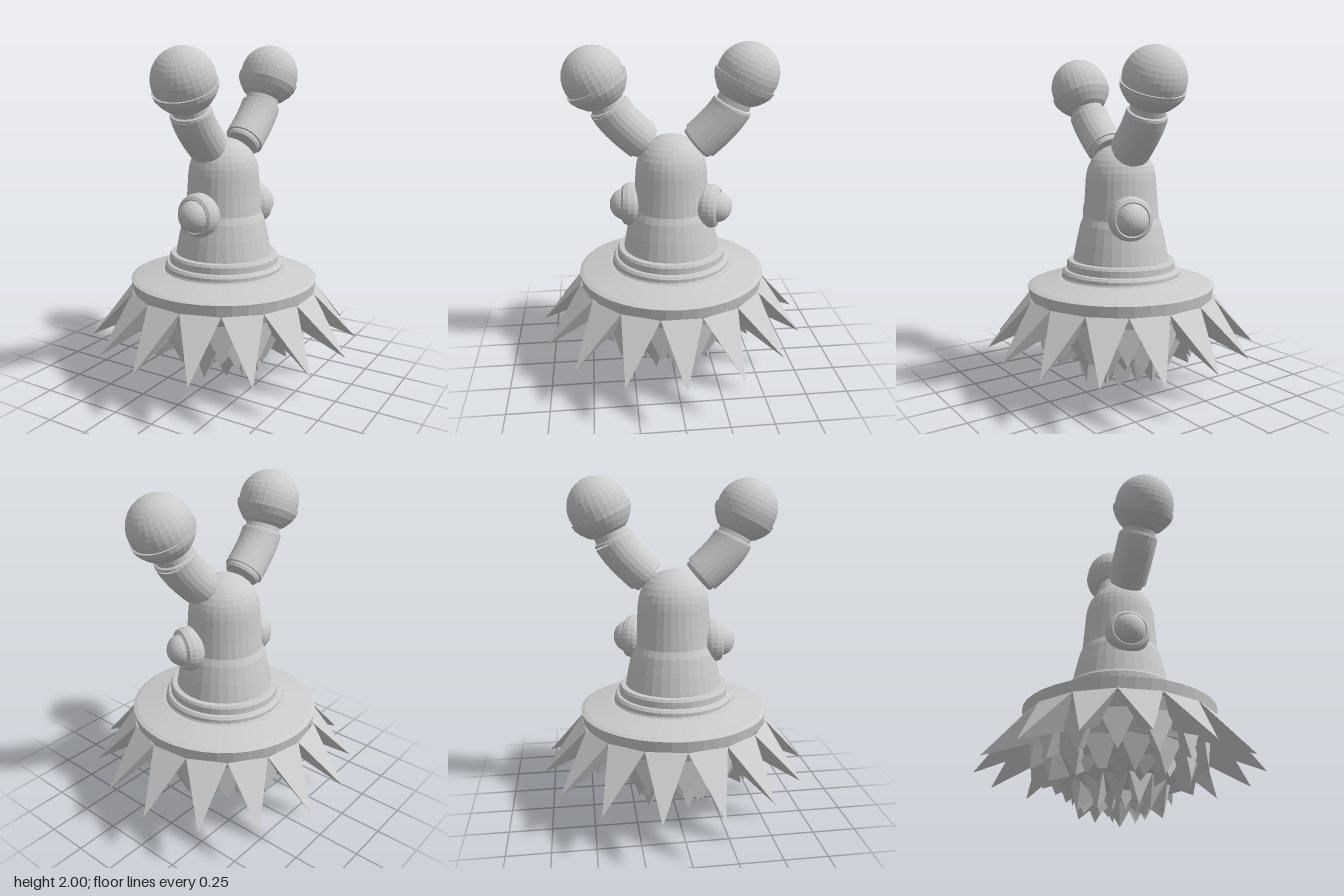
import * as THREE from 'three';

const V = (x, y, z) => new THREE.Vector3(x, y, z);
const UP = V(0, 1, 0);
const grey = new THREE.MeshStandardMaterial({ color: 0xcccccc, flatShading: true, side: THREE.DoubleSide });

function mesh(name, geometry) {
  const m = new THREE.Mesh(geometry, grey);
  m.name = name;
  return m;
}

// Turned part: list of [radius, height]
function lathe(name, profile, segments = 32) {
  return mesh(name, new THREE.LatheGeometry(profile.map(([r, y]) => new THREE.Vector2(r, y)), segments));
}

// Stand an object at a point with its y axis along dir
function place(obj, pos, dir) {
  obj.position.copy(pos);
  obj.quaternion.setFromUnitVectors(UP, dir.clone().normalize());
  return obj;
}

// Bent arm: plug, curved sleeve, neck, then a ball sitting in a cup
function arm(name, base, elbow, end, head) {
  const g = new THREE.Group();
  g.name = name;
  const low = elbow.clone().sub(base).normalize();
  const high = head.clone().sub(end).normalize();
  const len = end.distanceTo(head);
  g.add(place(lathe('armPlug', [[0, -0.03], [0.098, -0.03], [0.104, -0.015], [0.104, 0], [0.117, 0.004]], 24), base, low));
  g.add(mesh('armSleeve', new THREE.TubeGeometry(new THREE.QuadraticBezierCurve3(base, elbow, end), 8, 0.117, 24)));
  g.add(place(lathe('armNeck', [[0.117, 0], [0.113, 0.014], [0.1, 0.018], [0.097, len - 0.1]], 24), end, high));
  g.add(place(mesh('ball', new THREE.SphereGeometry(0.175, 28, 18)), head, high));
  g.add(place(lathe('ballCup', [[0.09, -0.16], [0.125, -0.138], [0.157, -0.1], [0.177, -0.065], [0.182, -0.035], [0.165, -0.035]], 28), head, high));
  return g;
}

// Round eye in a rounded collar, at a heading around the body
function eye(name, heading, y) {
  const g = new THREE.Group();
  g.name = name;
  g.add(lathe('eyeCollar', [[0.105, 0.1], [0.118, 0.19], [0.128, 0.215], [0.128, 0.25], [0.118, 0.28], [0.1, 0.292], [0.085, 0.28]], 28));
  const ball = mesh('eyeBall', new THREE.SphereGeometry(0.095, 24, 16));
  ball.position.y = 0.27;
  g.add(ball);
  return place(g, V(0, y, 0), V(Math.sin(heading), 0, Math.cos(heading)));
}

// Ring of three-sided spikes; base, under and tip are [radius, height]
function spikeRing(name, n, turn, base, under, tip, jitter = 0) {
  const pos = [];
  const at = ([r, y], a) => [r * Math.cos(a), y, r * Math.sin(a)];
  const half = Math.PI / n;
  for (let i = 0; i < n; i++) {
    const a = 2 * half * (i + turn);
    const wob = jitter * Math.sin(i * 2.4 + n);
    const L = at(base, a - half), R = at(base, a + half), U = at(under, a);
    const T = at([tip[0] * (1 + wob), tip[1] + 0.06 * Math.abs(wob)], a + half * wob);
    pos.push(...L, ...T, ...R, ...L, ...U, ...T, ...R, ...T, ...U);
  }
  const geo = new THREE.BufferGeometry();
  geo.setAttribute('position', new THREE.Float32BufferAttribute(pos, 3));
  geo.computeVertexNormals();
  return mesh(name, geo);
}

export function createModel() {
  const model = new THREE.Group();
  model.name = 'spikyFigure';

  // Body with a domed top
  const body = [[0.288, 0.77], [0.284, 0.8], [0.265, 0.9], [0.242, 1.0], [0.225, 1.04], [0.216, 1.15], [0.208, 1.27]];
  for (let i = 1; i <= 8; i++) {
    const a = (i / 8) * Math.PI / 2;
    body.push([0.206 * Math.cos(a), 1.27 + 0.205 * Math.sin(a)]);
  }
  model.add(lathe('body', body));

  // Stepped collar and wide skirt disc
  model.add(lathe('steppedCollar', [[0.365, 0.68], [0.352, 0.7], [0.352, 0.72], [0.34, 0.735], [0.324, 0.738],
    [0.324, 0.775], [0.315, 0.79], [0.28, 0.792]], 40));
  model.add(lathe('skirtDisc', [[0.3, 0.575], [0.547, 0.575], [0.558, 0.64], [0.535, 0.65], [0.37, 0.69], [0.3, 0.69]], 40));

  // Hanging core and its rings of spikes
  model.add(lathe('core', [[0, 0.1], [0.15, 0.15], [0.32, 0.26], [0.45, 0.39], [0.52, 0.575]], 15));
  model.add(spikeRing('outerSpikes', 15, 0, [0.56, 0.577], [0.47, 0.41], [0.8, 0.28]));
  model.add(spikeRing('secondSpikes', 15, 0.5, [0.51, 0.5], [0.41, 0.33], [0.5, 0.28]));
  model.add(spikeRing('thirdSpikes', 15, 0, [0.45, 0.39], [0.3, 0.24], [0.41, 0.2], 0.08));
  model.add(spikeRing('fourthSpikes', 15, 0.5, [0.37, 0.31], [0.22, 0.17], [0.32, 0.2], 0.15));
  model.add(spikeRing('fifthSpikes', 13, 0, [0.28, 0.24], [0.13, 0.14], [0.23, 0.06], 0.15));
  model.add(spikeRing('innerSpikes', 9, 0.3, [0.18, 0.18], [0.06, 0.11], [0.13, 0.055], 0.25));
  model.add(spikeRing('centreSpike', 5, 0, [0.08, 0.13], [0.02, 0.08], [0, 0]));

  // Two raised arms
  model.add(arm('frontArm', V(-0.005, 1.445, 0.167), V(0, 1.56, 0.305), V(0.006, 1.635, 0.345), V(0.02, 1.81, 0.433)));
  model.add(arm('backArm', V(0.045, 1.445, -0.16), V(0.056, 1.565, -0.295), V(0.06, 1.64, -0.335), V(0.074, 1.825, -0.42)));

  // Eyes on the front and back
  model.add(eye('frontEye', -0.1, 1.05));
  model.add(eye('backEye', Math.PI - 0.37, 1.06));
  return model;
}
